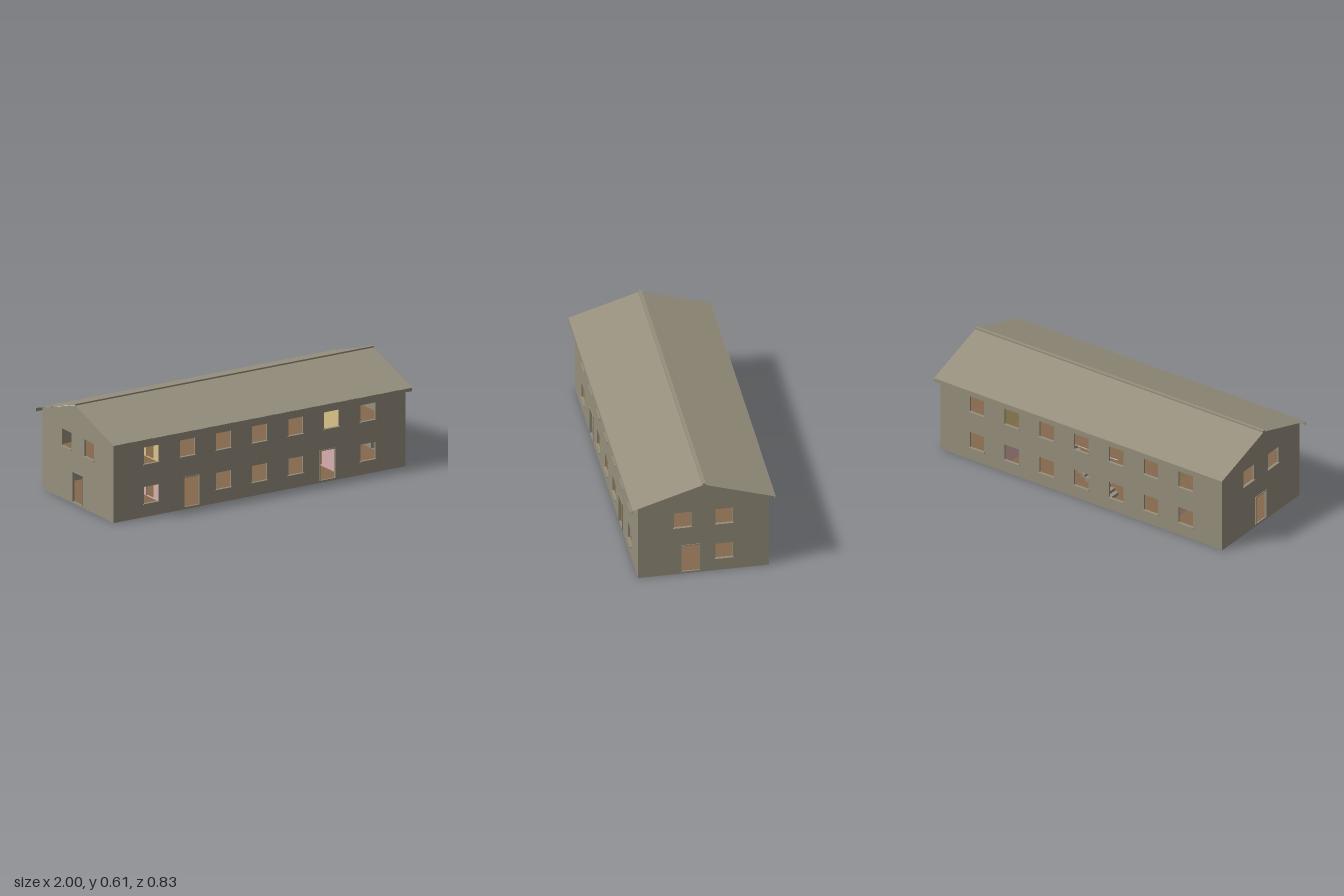
import * as THREE from 'three';

const HX = 0.978, HZ = 0.378, T = 0.01;        // half length, half depth, wall thickness
const EAVE = 0.48, RIDGE = 0.598;              // wall heights
const FLOOR = 0.012, UPPER = 0.245;            // finished floor levels

const mat = (name, color) => new THREE.MeshStandardMaterial({ name, color, side: THREE.DoubleSide });

function rectPath(x0, x1, y0, y1) {
  const p = new THREE.Path();
  p.moveTo(x0, y0).lineTo(x0, y1).lineTo(x1, y1).lineTo(x1, y0).closePath();
  return p;
}

function extrude(points, holes, depth) {
  const shape = new THREE.Shape(points.map(([x, y]) => new THREE.Vector2(x, y)));
  shape.holes.push(...holes.map((h) => rectPath(...h)));
  return new THREE.ExtrudeGeometry(shape, { depth, bevelEnabled: false });
}

export function createModel() {
  const model = new THREE.Group();
  model.name = 'longHouse';
  const wallMat = mat('stone grey', 0x968f7d);
  const floorMat = mat('floor brown', 0x85694d);
  const ceilingMat = mat('ceiling white', 0xdedada);
  const pinkMat = mat('lower partition pink', 0xd9b0ae);
  const yellowMat = mat('upper partition yellow', 0xdac486);

  const add = (parent, name, geometry, material, x = 0, y = 0, z = 0) => {
    const mesh = new THREE.Mesh(geometry, material);
    mesh.name = name;
    mesh.position.set(x, y, z);
    parent.add(mesh);
    return mesh;
  };
  const box = (parent, name, material, w, h, d, x, y, z) =>
    add(parent, name, new THREE.BoxGeometry(w, h, d), material, x, y, z);

  // One outer wall with openings, sills and door frames; local +z points outdoors
  function facade(name, outline, windows, doors, distance, turn) {
    const group = new THREE.Group();
    group.name = name;
    group.rotation.y = turn;
    const holes = [
      ...windows.map(([u, y]) => [u - 0.05, u + 0.05, y, y + 0.1]),
      ...doors.map((u) => [u - 0.051, u + 0.051, FLOOR, 0.188]),
    ];
    add(group, name + 'Panel', extrude(outline, holes, T), wallMat, 0, 0, distance - T);
    for (const [u, y] of windows) {
      box(group, 'windowSill', wallMat, 0.11, 0.005, 0.014, u, y - 0.0025, distance);
    }
    for (const u of doors) {
      for (const s of [-1, 1]) {
        box(group, 'doorPost', wallMat, 0.005, 0.181, 0.012, u + s * 0.0535, 0.1025, distance - 0.002);
      }
      box(group, 'doorLintel', wallMat, 0.112, 0.005, 0.012, u, 0.1905, distance - 0.002);
    }
    model.add(group);
  }

  const columns = [-0.725, -0.483, -0.242, 0, 0.242, 0.483, 0.725];
  const upperRow = columns.map((x) => [x, 0.315]);
  const lowerRow = columns.map((x) => [x, 0.08]);
  const longWall = [[-HX, 0], [HX, 0], [HX, EAVE], [-HX, EAVE]];
  const w = HZ - 0.0005;
  const gable = [[-w, 0], [w, 0], [w, EAVE], [0, RIDGE], [-w, EAVE]];

  // The front swaps two lower windows for doors
  const frontLower = lowerRow.filter(([x]) => Math.abs(x) !== 0.483);
  facade('frontWall', longWall, [...upperRow, ...frontLower], [-0.455, 0.455], HZ, 0);
  facade('backWall', longWall, [...upperRow, ...lowerRow], [], HZ, Math.PI);
  const gableUpper = [[-0.12, 0.315], [0.12, 0.315]];
  facade('leftGable', gable, [...gableUpper, [0.12, 0.08]], [-0.076], HX + 0.001, Math.PI / 2);
  facade('rightGable', gable, gableUpper, [0], HX + 0.001, -Math.PI / 2);

  // Ground slab, ceiling and an upper floor with a stairwell
  const innerX = HX - T, innerZ = HZ - T;
  box(model, 'groundSlab', wallMat, 2 * HX - 0.002, 0.009, 2 * HZ - 0.002, 0, 0.0045, 0);
  box(model, 'groundFloor', floorMat, 2 * innerX, 0.003, 2 * innerZ, 0, 0.0105, 0);
  box(model, 'upperCeiling', ceilingMat, 2 * innerX, 0.005, 2 * innerZ, 0, 0.474, 0);
  const plan = [[-innerX, -innerZ], [innerX, -innerZ], [innerX, innerZ], [-innerX, innerZ]];
  const well = [-0.155, 0.155, 0.23, 0.345];
  const slab = (name, depth, material, y) => {
    add(model, name, extrude(plan, [well], depth), material, 0, y, 0).rotation.x = -Math.PI / 2;
  };
  slab('lowerCeiling', 0.006, ceilingMat, UPPER - 0.01);
  slab('upperFloor', 0.004, floorMat, UPPER - 0.004);

  // Cross partitions with a doorway on each storey
  const storeys = [
    ['lowerPartition', FLOOR, 0.235, pinkMat],
    ['upperPartition', UPPER, 0.4715, yellowMat],
  ];
  for (const [name, y0, y1, material] of storeys) {
    const outline = [[-innerZ, y0], [innerZ, y0], [innerZ, y1], [-innerZ, y1]];
    const doorway = [-0.153, -0.075, y0 + 0.001, y0 + 0.165];
    for (const s of [-1, 1]) {
      add(model, name, extrude(outline, [doorway], 0.01), material, s * 0.565 - 0.005).rotation.y = Math.PI / 2;
    }
  }

  // Stair rising towards +x along the back wall
  const steps = 12, rise = (UPPER - FLOOR) / steps, run = 0.31 / steps;
  for (let i = 0; i < steps; i++) {
    box(model, 'stairStep', wallMat, run, rise * 1.3, 0.11,
      -0.155 + run * (i + 0.5), FLOOR + rise * (i + 1) - rise * 0.65, -0.287);
  }

  // Thin roof sheets, eaves boards and ridge cap
  const roofTop = 0.604, roofEdge = 0.474, reach = 0.411;
  const slope = Math.atan2(roofTop - roofEdge, reach);
  for (const s of [-1, 1]) {
    const sheet = new THREE.PlaneGeometry(2, Math.hypot(reach, roofTop - roofEdge));
    sheet.rotateX(-Math.PI / 2 + s * slope);
    add(model, 'roofSheet', sheet, wallMat, 0, (roofTop + roofEdge) / 2, s * reach / 2);
    box(model, 'eavesBoard', wallMat, 2, 0.02, 0.004, 0, 0.463, s * reach);
  }
  box(model, 'ridgeCap', wallMat, 2, 0.009, 0.02, 0, 0.6075, 0);

  return model;
}
